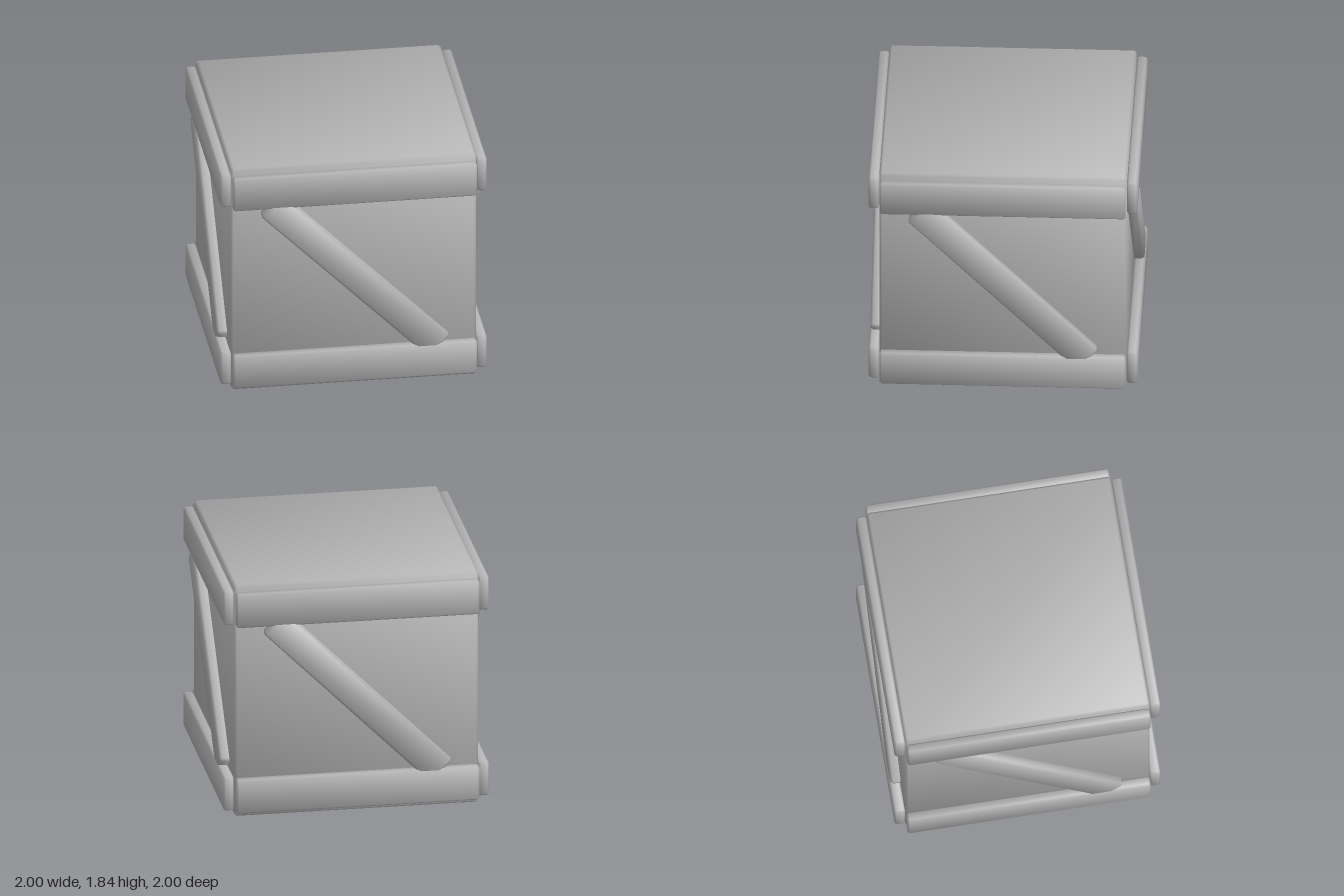
import * as THREE from 'three';
import { ConvexGeometry } from 'three/addons/geometries/ConvexGeometry.js';

// Box with chamfered edges and soft, tilted normals that blend the chamfers into the faces
function softBox(w, h, d, bevel) {
  const half = [w / 2, h / 2, d / 2];
  const corners = [];
  for (const sx of [-1, 1]) for (const sy of [-1, 1]) for (const sz of [-1, 1]) {
    const s = [sx, sy, sz];
    for (let face = 0; face < 3; face++) {
      corners.push(new THREE.Vector3(...s.map((v, i) => v * (half[i] - (i === face ? 0 : bevel)))));
    }
  }
  const geometry = new ConvexGeometry(corners);
  const pos = geometry.attributes.position;
  const normal = geometry.attributes.normal;
  for (let i = 0; i < pos.count; i++) {
    const p = [pos.getX(i), pos.getY(i), pos.getZ(i)];
    const n = new THREE.Vector3(...p.map((v, a) =>
      Math.sign(v) * (Math.abs(v) > half[a] - bevel / 2 ? 2.8 : 1.09))).normalize();
    normal.setXYZ(i, n.x, n.y, n.z);
  }
  return geometry;
}

export function createModel() {
  const crate = new THREE.Group();
  crate.name = 'crate';
  const grey = new THREE.MeshStandardMaterial({ color: 0xb4b4b4 });
  grey.name = 'plain grey';

  const add = (parent, name, geometry, x, y, z) => {
    const mesh = new THREE.Mesh(geometry, grey);
    mesh.name = name;
    mesh.position.set(x, y, z);
    parent.add(mesh);
    return mesh;
  };

  // Body
  add(crate, 'body', softBox(1.84, 1.835, 1.84, 0.02), 0, 0.9225, 0);

  // Each side carries two rails and one diagonal brace
  const rail = softBox(1.83, 0.267, 0.078, 0.015);
  const brace = softBox(1.78, 0.235, 0.09, 0.02);
  ['front', 'left', 'back', 'right'].forEach((name, i) => {
    const side = new THREE.Group();
    side.name = name + 'Side';
    side.rotation.y = i * Math.PI / 2;
    add(side, 'topRail', rail, 0, 1.662, 0.961);
    add(side, 'bottomRail', rail, 0, 0.186, 0.961);
    add(side, 'diagonalBrace', brace, 0, 0.924, 0.951).rotation.z = -Math.PI / 4;
    crate.add(side);
  });

  return crate;
}
